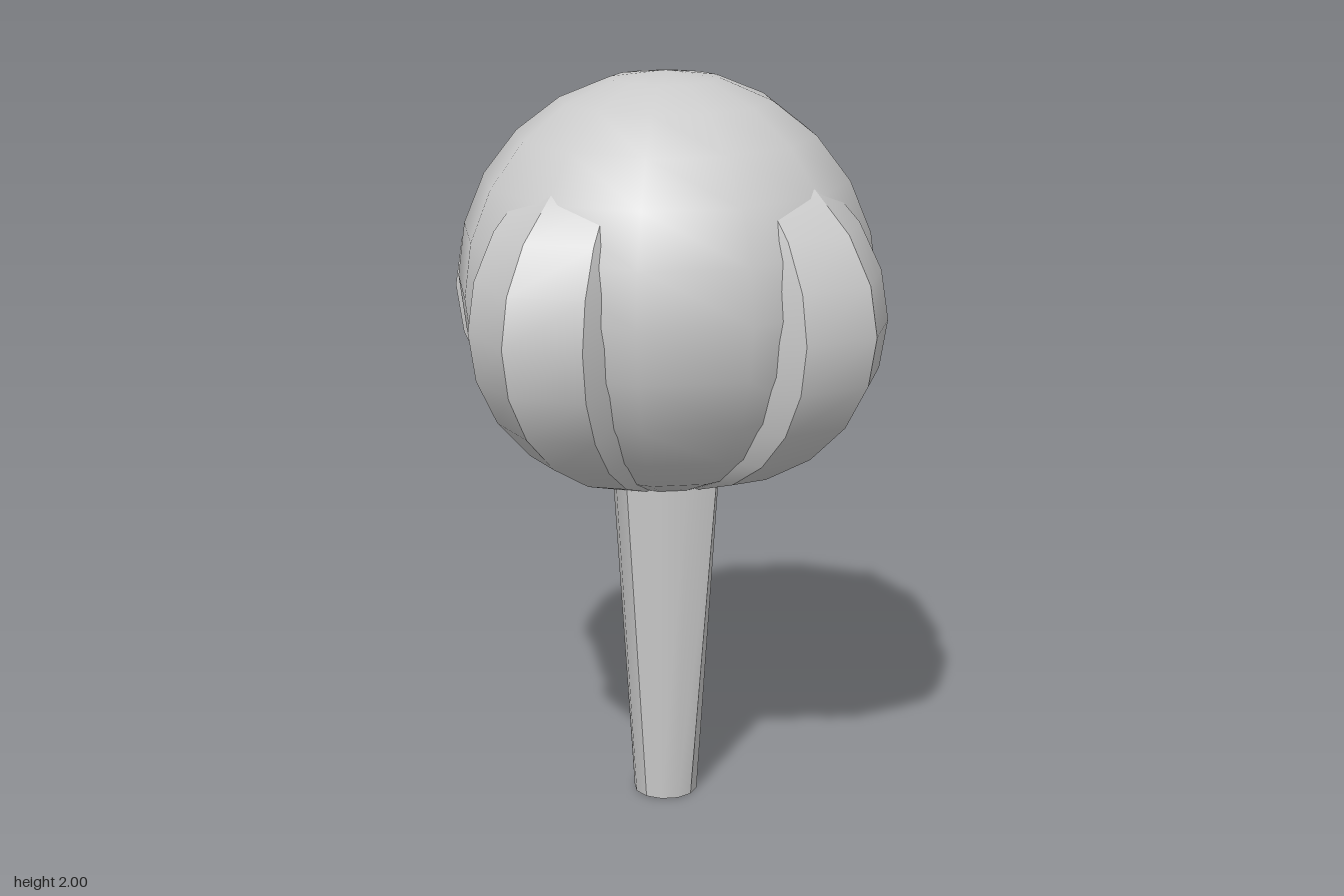
import * as THREE from 'three';

const RAD = Math.PI / 180;
const material = new THREE.MeshStandardMaterial({ color: 0xcccccc, side: THREE.DoubleSide });

// Smooth sheet through rows of points (rows run upward, points run left to right).
function sheet(rows) {
  const n = rows[0].length;
  const index = [];
  for (let r = 0; r < rows.length - 1; r++) {
    for (let c = 0; c < n - 1; c++) {
      const a = r * n + c, b = a + 1, d = a + n, e = d + 1;
      index.push(a, b, e, a, e, d);
    }
  }
  const g = new THREE.BufferGeometry();
  g.setAttribute('position', new THREE.Float32BufferAttribute(rows.flat(2), 3));
  g.setIndex(index);
  g.computeVertexNormals();
  return g;
}

function add(parent, name, geometry) {
  const mesh = new THREE.Mesh(geometry, material);
  mesh.name = name;
  parent.add(mesh);
  return mesh;
}

// Ridged rib: a chevron section that swells along an ellipse.
const RIB = [[-0.2, 0.36], [-0.185, 0.575], [0, 0.66], [0.185, 0.575], [0.2, 0.36]];
const RIB_NAMES = ['ribRightWall', 'ribRightFace', 'ribLeftFace', 'ribLeftWall'];

function createRib() {
  const rib = new THREE.Group();
  RIB_NAMES.forEach((name, i) => {
    const rows = [];
    for (let lat = -75; lat <= 60; lat += 15) {
      const s = Math.cos(lat * RAD);
      const y = 1.39 + 0.497 * Math.sin(lat * RAD);
      rows.push([RIB[i], RIB[i + 1]].map(([x, z]) => [x * s, y, z * s]));
    }
    add(rib, name, sheet(rows));
  });
  return rib;
}

// Quarter of the stem: round at the foot, pulled out to the rib ridges at the top.
function createStemQuarter() {
  const ring = (y, ridge, round) => [0, 30, 60, 90].map((deg) => {
    const r = deg % 90 === 0 ? ridge : round;
    return [r * Math.sin(deg * RAD), y, r * Math.cos(deg * RAD)];
  });
  return sheet([ring(0, 0.087, 0.087), ring(0.913, 0.169, 0.144)]);
}

export function createModel() {
  const model = new THREE.Group();
  model.name = 'ribbedBulbOnStem';

  // Round bulb
  const bulb = add(model, 'bulb', new THREE.SphereGeometry(0.555, 12, 12));
  bulb.position.y = 1.445;

  // Four ribs and four stem quarters
  for (let i = 0; i < 4; i++) {
    const rib = createRib();
    rib.name = 'rib';
    rib.rotation.y = i * Math.PI / 2;
    model.add(rib);
    add(model, 'stemQuarter', createStemQuarter()).rotation.y = i * Math.PI / 2;
  }

  // Foot of the stem
  add(model, 'stemFoot', new THREE.CircleGeometry(0.087, 12).rotateX(Math.PI / 2));

  return model;
}
